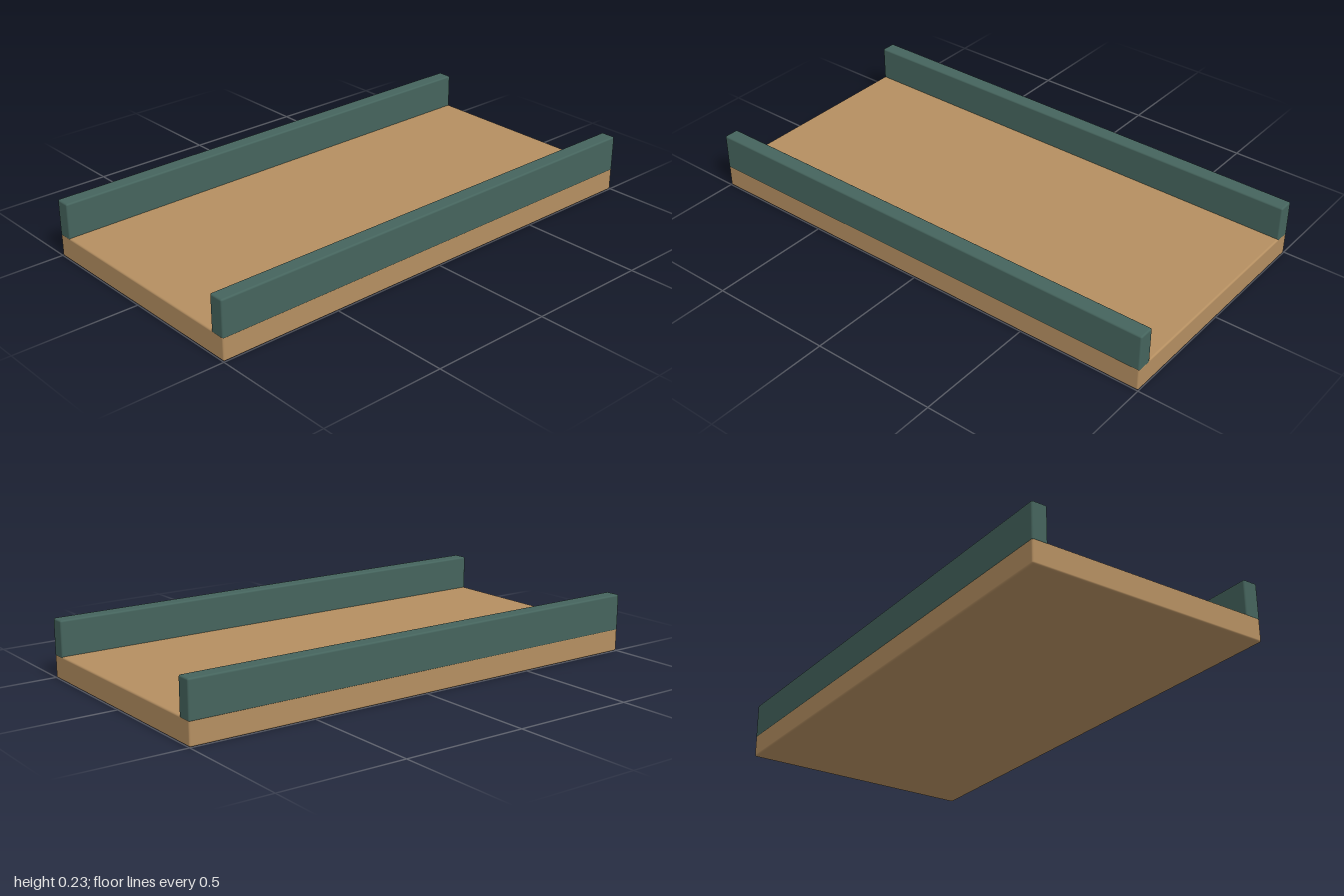
import * as THREE from 'three';
import { RoundedBoxGeometry } from 'three/addons/geometries/RoundedBoxGeometry.js';

const wood = new THREE.MeshStandardMaterial({ name: 'tan wood', color: 0xb58f61 });
const green = new THREE.MeshStandardMaterial({ name: 'dark green', color: 0x45645d });

// Softly bevelled box spanning y0..y1
function slab(name, material, width, y0, y1, depth, x = 0) {
  const geometry = new RoundedBoxGeometry(width, y1 - y0, depth, 2, 0.007);
  const mesh = new THREE.Mesh(geometry, material);
  mesh.name = name;
  mesh.position.set(x, (y0 + y1) / 2, 0);
  return mesh;
}

export function createModel() {
  const model = new THREE.Group();
  model.name = 'railedDeck';

  // Deck, a hair smaller than the rails so their faces do not coincide
  model.add(slab('deck', wood, 0.999, 0, 0.094, 1.999));

  // Side rails, sunk slightly into the deck
  for (const [name, side] of [['leftRail', 1], ['rightRail', -1]]) {
    model.add(slab(name, green, 0.063, 0.086, 0.234, 2, side * 0.4685));
  }
  return model;
}
